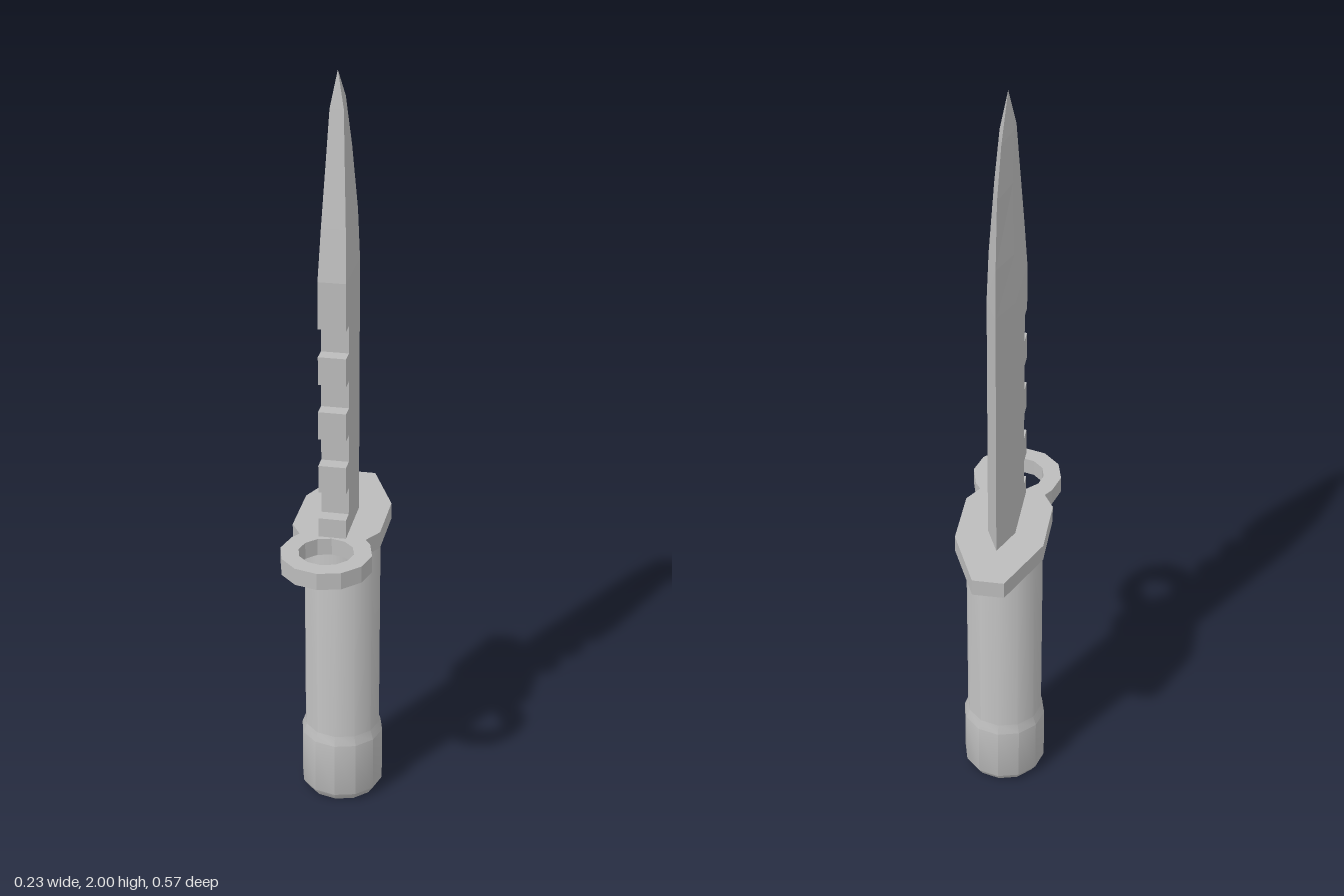
import * as THREE from 'three';
import { toCreasedNormals } from 'three/addons/utils/BufferGeometryUtils.js';

const steel = new THREE.MeshStandardMaterial({ color: 0xbcbcbc });
steel.name = 'grey steel';

function addPart(group, name, geometry) {
  const mesh = new THREE.Mesh(geometry, steel);
  mesh.name = name;
  group.add(mesh);
  return mesh;
}

// Round grip with a thicker, chamfered pommel
function gripGeometry() {
  const profile = [[0, 0], [0.094, 0], [0.109, 0.022], [0.109, 0.175], [0.1, 0.2], [0.1, 0.755], [0.094, 0.775]]
    .map(([r, y]) => new THREE.Vector2(r, y));
  return toCreasedNormals(new THREE.LatheGeometry(profile, 12), 0.6);
}

// Flat crossguard with a 12-sided ring at the front
function guardGeometry() {
  const ringZ = 0.168;
  const ringPoint = (r, i) => [r * Math.sin(i * Math.PI / 6), ringZ + r * Math.cos(i * Math.PI / 6)];
  const half = [];
  for (let i = 0; i <= 4; i++) half.push(ringPoint(0.116, i));
  half.push([0.085, 0.087], [0.113, 0.04], [0.113, -0.123], [0.04, -0.288]);
  const mirrored = half.slice(1).reverse().map(([x, z]) => [-x, z]);
  const toShape = ([x, z]) => new THREE.Vector2(x, -z);

  const shape = new THREE.Shape([...half, ...mirrored].map(toShape));
  const hole = [];
  for (let i = 0; i < 12; i++) hole.push(toShape(ringPoint(0.07, i)));
  shape.holes.push(new THREE.Path(hole));
  const geometry = new THREE.ExtrudeGeometry(shape, { depth: 0.045, bevelEnabled: false });
  geometry.rotateX(-Math.PI / 2);
  geometry.translate(0, 0.77, 0);
  return geometry;
}

// Blade lofted from five-sided sections: flat spine, flat sides, ground edge
function bladeGeometry() {
  const spine = 0.092, notch = 0.055, shoulder = -0.083, edge = -0.163, h = 0.035;
  const rows = [[0.8, spine, shoulder, edge, h]];
  // Saw teeth: four notches cut into the spine
  for (let i = 0; i < 4; i++) {
    const low = 0.866 + i * 0.1465, high = low + 0.073;
    rows.push([low, spine, shoulder, edge, h], [low, notch, shoulder, edge, h],
      [high, notch, shoulder, edge, h], [high, spine, shoulder, edge, h]);
  }
  // Clipped point
  rows.push(
    [1.5, spine, shoulder, edge, h],
    [1.63, 0.073, -0.08, -0.16, 0.03],
    [1.8, 0.048, -0.045, -0.138, 0.022],
    [1.91, 0.032, 0.0, -0.078, 0.017],
    [2.0, 0.018, 0.018, 0.018, 0]
  );

  const positions = [], index = [];
  for (const [y, back, mid, cut, w] of rows) {
    positions.push(-w, y, back, w, y, back, w, y, mid, 0, y, cut, -w, y, mid);
  }
  for (let i = 0; i < rows.length - 1; i++) {
    for (let j = 0; j < 5; j++) {
      const a = i * 5 + j, b = i * 5 + (j + 1) % 5;
      index.push(a, b, b + 5, a, b + 5, a + 5);
    }
  }
  const indexed = new THREE.BufferGeometry();
  indexed.setAttribute('position', new THREE.Float32BufferAttribute(positions, 3));
  indexed.setIndex(index);
  const geometry = indexed.toNonIndexed();
  geometry.computeVertexNormals();
  return geometry;
}

export function createModel() {
  const knife = new THREE.Group();
  knife.name = 'knife';
  addPart(knife, 'grip', gripGeometry()).position.z = -0.04;
  addPart(knife, 'crossguard', guardGeometry());
  addPart(knife, 'blade', bladeGeometry());
  return knife;
}
